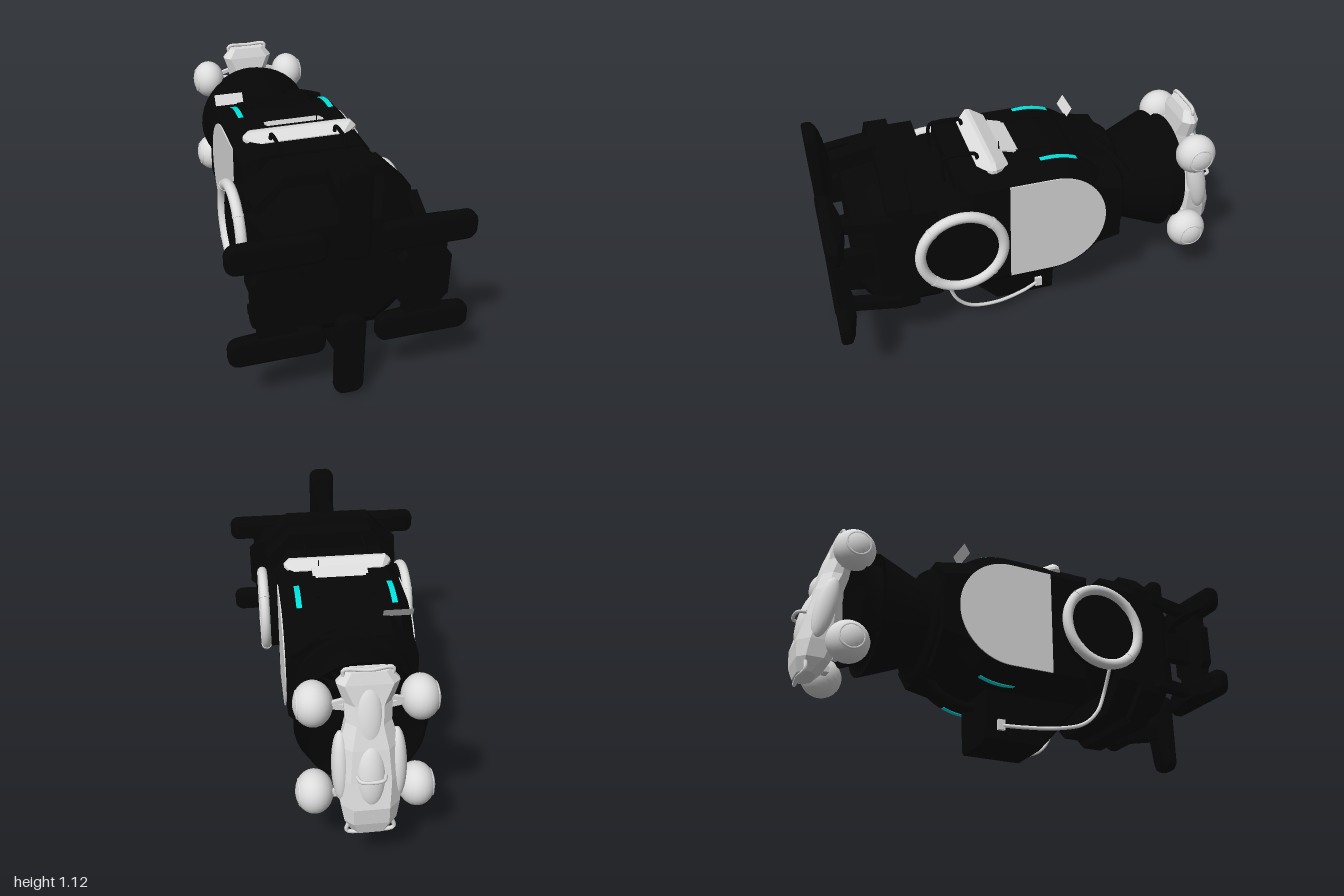
import * as THREE from 'three';

const mat = (name, color, side = THREE.FrontSide) => {
  const m = new THREE.MeshStandardMaterial({ color, side });
  m.name = name;
  return m;
};

// Octagonal loft along z; each section is [z, halfWidth, yLow, yHigh, chamfer]
function loft(sections) {
  const rings = sections.map(([z, w, lo, hi, c]) => [
    [w, lo + c], [w, hi - c], [w - c, hi], [c - w, hi],
    [-w, hi - c], [-w, lo + c], [c - w, lo], [w - c, lo],
  ].map(([x, y]) => [x, y, z]));
  const p = [];
  const tri = (a, b, c) => p.push(...a, ...b, ...c);
  for (let s = 0; s < rings.length - 1; s++) {
    for (let i = 0; i < 8; i++) {
      const j = (i + 1) % 8, a = rings[s], b = rings[s + 1];
      tri(a[i], a[j], b[j]);
      tri(a[i], b[j], b[i]);
    }
  }
  const first = rings[0], last = rings[rings.length - 1];
  for (let i = 1; i < 7; i++) {
    tri(first[0], first[i + 1], first[i]);
    tri(last[0], last[i], last[i + 1]);
  }
  const g = new THREE.BufferGeometry();
  g.setAttribute('position', new THREE.Float32BufferAttribute(p, 3));
  g.computeVertexNormals();
  return g;
}

// Side outline (z, y): straight front, round rear
function sideShape(front) {
  const s = new THREE.Shape();
  s.moveTo(front, 0.84);
  s.lineTo(-0.05, 0.84);
  s.absarc(-0.05, 0.58, 0.26, Math.PI / 2, Math.PI * 1.5, false);
  s.lineTo(front, 0.32);
  s.closePath();
  return s;
}

// Thin band that follows the hull roof and its rounded rear, centred on y = 0
function stripShape() {
  const s = new THREE.Shape(), a = Math.PI / 2;
  s.moveTo(0.06, 0.333);
  s.absarc(-0.05, 0, 0.333, a, a + 0.4, false);
  s.absarc(-0.05, 0, 0.326, a + 0.4, a, true);
  s.lineTo(0.06, 0.326);
  s.closePath();
  return s;
}

function roundedRect(w, h, r) {
  const s = new THREE.Shape(), x = w / 2, y = h / 2;
  s.moveTo(r - x, -y);
  s.absarc(x - r, r - y, r, -Math.PI / 2, 0);
  s.absarc(x - r, y - r, r, 0, Math.PI / 2);
  s.absarc(r - x, y - r, r, Math.PI / 2, Math.PI);
  s.absarc(r - x, r - y, r, Math.PI, Math.PI * 1.5);
  return s;
}

// Extrudes a (z, y) outline sideways, centred on x = 0
const sideways = (shape, depth, options) => new THREE.ExtrudeGeometry(shape, { depth, curveSegments: 24, ...options })
  .translate(0, 0, -depth / 2).rotateY(-Math.PI / 2);

const tube = (pts, r, seg = 32) => new THREE.TubeGeometry(
  new THREE.CatmullRomCurve3(pts.map(q => new THREE.Vector3(...q))), seg, r, 8);

export function createModel() {
  const root = new THREE.Group();
  const black = mat('black hull', 0x060606, THREE.DoubleSide);
  const white = mat('light grey', 0xdcdcdc, THREE.DoubleSide);
  const grey = mat('panel grey', 0xd6d6d6, THREE.DoubleSide);
  const cyan = mat('cyan light', 0x00e2de);

  const add = (name, geo, m, x = 0, y = 0, z = 0) => {
    const mesh = new THREE.Mesh(geo, m);
    mesh.name = name;
    mesh.position.set(x, y, z);
    root.add(mesh);
    return mesh;
  };
  const box = (name, w, h, d, m, x, y, z) => add(name, new THREE.BoxGeometry(w, h, d), m, x, y, z);
  // Square beam between two points
  const beam = (name, a, b, w, m) => {
    const p = new THREE.Vector3(...a), q = new THREE.Vector3(...b);
    const mesh = box(name, w, w, p.distanceTo(q), m, 0, 0, 0);
    mesh.position.copy(p).lerp(q, 0.5);
    mesh.lookAt(q);
  };

  // Main hull with bevelled shoulders
  add('hull', sideways(sideShape(0.33), 0.48, { bevelThickness: 0.06, bevelSize: 0.07, bevelSegments: 1 }), black);

  // Front section
  add('frontSection', loft([
    [0.34, 0.335, 0.32, 0.83, 0.1], [0.495, 0.335, 0.32, 0.83, 0.1],
    [0.5, 0.34, 0.21, 0.95, 0.13], [0.61, 0.34, 0.21, 0.95, 0.13],
    [0.615, 0.34, 0.175, 0.98, 0.125], [0.72, 0.34, 0.175, 0.98, 0.125],
    [0.725, 0.34, 0.22, 0.93, 0.13], [0.78, 0.325, 0.24, 0.91, 0.13],
    [0.83, 0.29, 0.27, 0.88, 0.12], [0.87, 0.25, 0.33, 0.82, 0.1],
  ]), black);

  // Rear collar, flared skirt and nozzle
  const rear = new THREE.LatheGeometry([
    [0, -0.7], [0.2, -0.7], [0.25, -0.745], [0.265, -0.74], [0.225, -0.655], [0.295, -0.66],
    [0.2, -0.42], [0.26, -0.42], [0.275, -0.4], [0.275, -0.3], [0.255, -0.28], [0, -0.28],
  ].map(([r, z]) => new THREE.Vector2(r, z)), 40);
  rear.rotateX(Math.PI / 2);
  add('rearNozzle', rear, black, 0, 0.58, 0);
  add('rearCollarFrame', loft([[-0.39, 0.3, 0.32, 0.84, 0.12], [-0.2, 0.3, 0.28, 0.88, 0.12]]), black);

  // Belly box, narrowing towards the bottom
  const belly = loft([
    [-0.11, 0.145, 0.005, 0.28, 0.02], [0.18, 0.145, 0.005, 0.28, 0.02], [0.36, 0.145, 0.21, 0.28, 0.02],
  ]);
  const bp = belly.attributes.position;
  for (let i = 0; i < bp.count; i++) bp.setX(i, bp.getX(i) * Math.min(1, 0.86 + 0.8 * bp.getY(i)));
  belly.computeVertexNormals();
  add('bellyBox', belly, black);
  add('bellyHose', tube([[0, 0.21, -0.09], [0, 0.21, -0.18], [0, 0.25, -0.28], [0, 0.34, -0.37]], 0.025), black);
  add('topHose', tube([[0.08, 0.85, -0.32], [0.16, 0.835, -0.36], [0.24, 0.8, -0.4], [0.29, 0.78, -0.41]], 0.022), black);

  // Contact pads with a tapered back
  const pad = (name, x, y, w, h) => {
    const face = new THREE.ExtrudeGeometry(roundedRect(w - 0.03, h - 0.03, 0.03), {
      depth: 0.025, bevelThickness: 0.015, bevelSize: 0.015, bevelSegments: 2,
    });
    add(name, face, black, x, y, 0.96);
    const a = Math.min(w, 0.16) / 2, b = Math.min(h, 0.16) / 2;
    const k = w > h ? [0.48 * w, 0.45 * h] : [0.45 * w, 0.48 * h];
    add(name + 'Back', loft([
      [0.912, a * 0.6, -b * 0.6, b * 0.6, 0.01], [0.935, k[0] * 0.85, -k[1] * 0.85, k[1] * 0.85, 0.02],
      [0.95, k[0], -k[1], k[1], 0.02], [0.965, k[0], -k[1], k[1], 0.02],
    ]), black, x, y, 0);
  };
  for (const s of [1, -1]) {
    const y = 0.58 + s * 0.345;
    pad('verticalPad', 0, y, 0.13, 0.4);
    beam('verticalPadLeg', [0, y, 0.93], [0, 0.58 + s * 0.39, 0.7], 0.075, black);
    for (const py of [0.8, 0.35]) {
      pad('sidePad', s * 0.315, py, 0.41, 0.125);
      beam('sidePadLeg', [s * 0.3, py, 0.94], [s * 0.35, py, 0.7], 0.05, black);
    }
    box('sidePadLink', 0.165, 0.36, 0.045, black, s * 0.312, 0.575, 0.965);
    add('sidePadLinkRib', loft([
      [0.942, 0.11, 0.45, 0.7, 0.03], [0.988, 0.11, 0.45, 0.7, 0.03],
    ]), black, s * 0.31);
    box('sidePadHinge', 0.06, 0.14, 0.16, black, s * 0.3, 0.58, 0.88);

    // Side panel, ring and hub
    add('sidePanel', sideways(sideShape(0.16), 0.008, { bevelEnabled: false }), grey, s * 0.302);
    const hub = new THREE.CylinderGeometry(0.2, 0.2, 0.09, 40).rotateZ(Math.PI / 2);
    add('sideHub', hub, black, s * 0.32, 0.58, 0.405);
    const ring = new THREE.TorusGeometry(0.194, 0.025, 12, 48).rotateY(Math.PI / 2);
    add('sideRing', ring, white, s * 0.367, 0.58, 0.405);
    for (let i = 0; i < 4; i++) {
      const a = Math.PI / 4 + i * Math.PI / 2;
      const clamp = new THREE.CylinderGeometry(0.027, 0.027, 0.012, 12).rotateX(Math.PI - a);
      add('ringClamp', clamp, white, s * 0.367, 0.58 + 0.194 * Math.sin(a), 0.405 + 0.194 * Math.cos(a));
    }

    // White feed hose and its plug
    add('feedHose', tube([
      [s * 0.33, 0.38, 0.45], [s * 0.265, 0.28, 0.452], [s * 0.253, 0.19, 0.42], [s * 0.24, 0.12, 0.35],
      [s * 0.22, 0.085, 0.22], [s * 0.18, 0.08, 0.07], [s * 0.14, 0.088, -0.03],
    ], 0.009, 48), white);
    box('hosePlug', 0.016, 0.05, 0.035, white, s * 0.142, 0.09, -0.03);

    // Light strips along the roof and belly edges
    for (const t of [1, -1]) {
      const strip = sideways(stripShape(), 0.026, { bevelEnabled: false });
      if (t < 0) strip.rotateZ(Math.PI);
      add('lightStrip', strip, cyan, s * 0.222, 0.58, 0);
    }
    // Handrail
    add('handrail', tube([
      [s * 0.15, 0.82, 0.43], [s * 0.15, 0.93, 0.43], [s * 0.15, 0.95, 0.42],
      [s * 0.15, 0.95, 0.28], [s * 0.15, 0.93, 0.27], [s * 0.15, 0.88, 0.27],
    ], 0.009), black);
    box('roofRail', 0.015, 0.01, 0.22, black, s * 0.13, 0.909, -0.02);
  }

  // Roof hatch, cover plate, flap and aerial
  add('roofHatch', loft([
    [0.145, 0.225, 0.88, 0.915, 0.012], [0.21, 0.265, 0.88, 0.945, 0.025],
    [0.23, 0.265, 0.88, 0.945, 0.025], [0.285, 0.2, 0.88, 0.915, 0.012],
  ]), white);
  box('hatchPlate', 0.27, 0.008, 0.085, white, 0, 0.918, 0.108).rotation.x = -0.3;
  add('rearFlap', new THREE.PlaneGeometry(0.14, 0.055), white, -0.22, 0.885, -0.275).rotation.x = -0.55;
  add('aerial', new THREE.CylinderGeometry(0.003, 0.003, 0.06, 6), black, 0.1, 0.93, 0.155);

  // Vehicle carried upright at the rear; lofted along its length, roof facing back
  add('vehicleBody', loft([
    [0.22, 0.08, 0.88, 0.965, 0.03], [0.28, 0.11, 0.83, 0.98, 0.035], [0.36, 0.125, 0.79, 0.985, 0.05],
    [0.48, 0.135, 0.79, 0.955, 0.05], [0.62, 0.125, 0.8, 0.925, 0.05], [0.72, 0.095, 0.77, 0.895, 0.04],
    [0.8, 0.1, 0.76, 0.87, 0.04], [0.89, 0.13, 0.77, 0.855, 0.03], [0.94, 0.09, 0.785, 0.84, 0.02],
  ]).rotateX(-Math.PI / 2), white);
  add('vehicleCanopy', new THREE.SphereGeometry(1, 24, 16).scale(0.065, 0.15, 0.05), white, 0, 0.5, -0.925).rotation.x = 0.22;
  add('vehicleBonnet', new THREE.SphereGeometry(1, 24, 16).scale(0.055, 0.14, 0.03), white, 0, 0.75, -0.87).rotation.x = 0.22;
  for (const s of [1, -1]) {
    add('vehiclePod', new THREE.SphereGeometry(1, 20, 12).scale(0.04, 0.16, 0.05), white, s * 0.118, 0.52, -0.88).rotation.x = 0.2;
    for (const y of [0.78, 0.325]) {
      add('wheel', new THREE.SphereGeometry(1, 24, 16).scale(0.083, 0.097, 0.097), white, s * 0.222, y, -0.795);
      add('hubRim', new THREE.TorusGeometry(0.055, 0.006, 8, 24).rotateY(Math.PI / 2), white, s * 0.287, y, -0.795);
      beam('axleArm', [s * 0.06, y - 0.02, -0.81], [s * 0.2, y, -0.8], 0.025, white);
      beam('axleArm', [s * 0.06, y + 0.04, -0.83], [s * 0.2, y, -0.82], 0.018, white);
    }
  }
  for (const [y, z] of [[0.945, -0.82], [0.22, -0.94]]) {
    const e = y > 0.5 ? -0.05 : 0.05;
    add('bumper', tube([
      [-0.09, y + e, z], [-0.1, y, z], [0, y, z - 0.01], [0.1, y, z], [0.09, y + e, z],
    ], 0.009), white);
  }
  add('roofBar', tube([[-0.06, 0.51, -0.95], [-0.045, 0.51, -0.985], [0.045, 0.51, -0.985], [0.06, 0.51, -0.95]], 0.008), white);
  return root;
}
